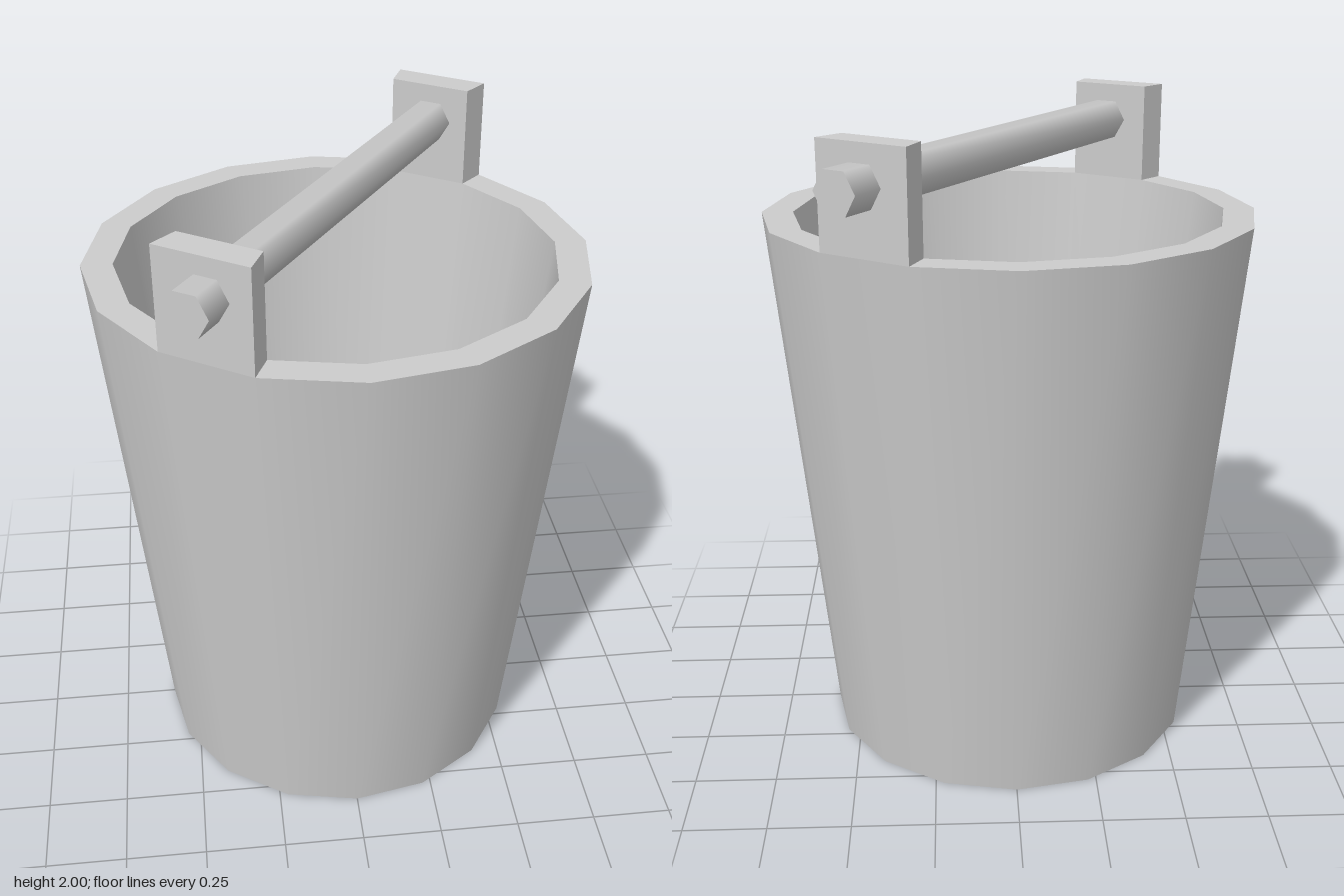
import * as THREE from 'three';

const SIDES = 16;
const RIM_Y = 1.69, TOP_Y = 2, FLOOR_Y = 0.06;
const R_OUT = 0.755, R_IN = 0.66, R_BASE = 0.585, R_FLOOR = 0.49;

export function createModel() {
  const group = new THREE.Group();
  const grey = new THREE.MeshStandardMaterial({ color: 0xcccccc });
  const inside = new THREE.MeshStandardMaterial({ color: 0xcccccc, side: THREE.BackSide });

  const add = (name, geometry, y = 0, material = grey) => {
    const mesh = new THREE.Mesh(geometry, material);
    mesh.name = name;
    mesh.position.y = y;
    group.add(mesh);
    return mesh;
  };
  const upward = (geometry) => geometry.rotateX(-Math.PI / 2);

  // Tapered bucket: outer and inner walls, rim, floor and underside
  add('outerWall', new THREE.CylinderGeometry(R_OUT, R_BASE, RIM_Y, SIDES, 1, true), RIM_Y / 2);
  const depth = RIM_Y - FLOOR_Y;
  add('innerWall', new THREE.CylinderGeometry(R_IN, R_FLOOR, depth, SIDES, 1, true), FLOOR_Y + depth / 2, inside);
  add('rim', upward(new THREE.RingGeometry(R_IN, R_OUT, SIDES)), RIM_Y);
  add('floor', upward(new THREE.CircleGeometry(R_FLOOR, SIDES)), FLOOR_Y);
  add('underside', new THREE.CircleGeometry(R_BASE, SIDES).rotateX(Math.PI / 2));

  // Two opposite lugs, each one rim segment raised straight up
  const a0 = Math.PI / 4, a1 = a0 + (2 * Math.PI) / SIDES;
  const corner = (r, a) => new THREE.Vector2(r * Math.cos(a), r * Math.sin(a));
  const lugShape = new THREE.Shape([corner(R_IN, a0), corner(R_OUT, a0), corner(R_OUT, a1), corner(R_IN, a1)]);
  const lugGeometry = upward(new THREE.ExtrudeGeometry(lugShape, { depth: TOP_Y - RIM_Y, bevelEnabled: false }));
  ['backLug', 'frontLug'].forEach((name, i) => {
    add(name, lugGeometry, RIM_Y).rotation.y = i * Math.PI;
  });

  // Six-sided handle bar running through both lugs
  const bar = new THREE.CylinderGeometry(0.068, 0.068, 1.69, 6);
  bar.rotateY(Math.PI / 6).rotateX(Math.PI / 2).rotateY(Math.atan2(0.93, -1.41));
  add('handleBar', bar, 1.885).position.x = 0.01;

  return group;
}
